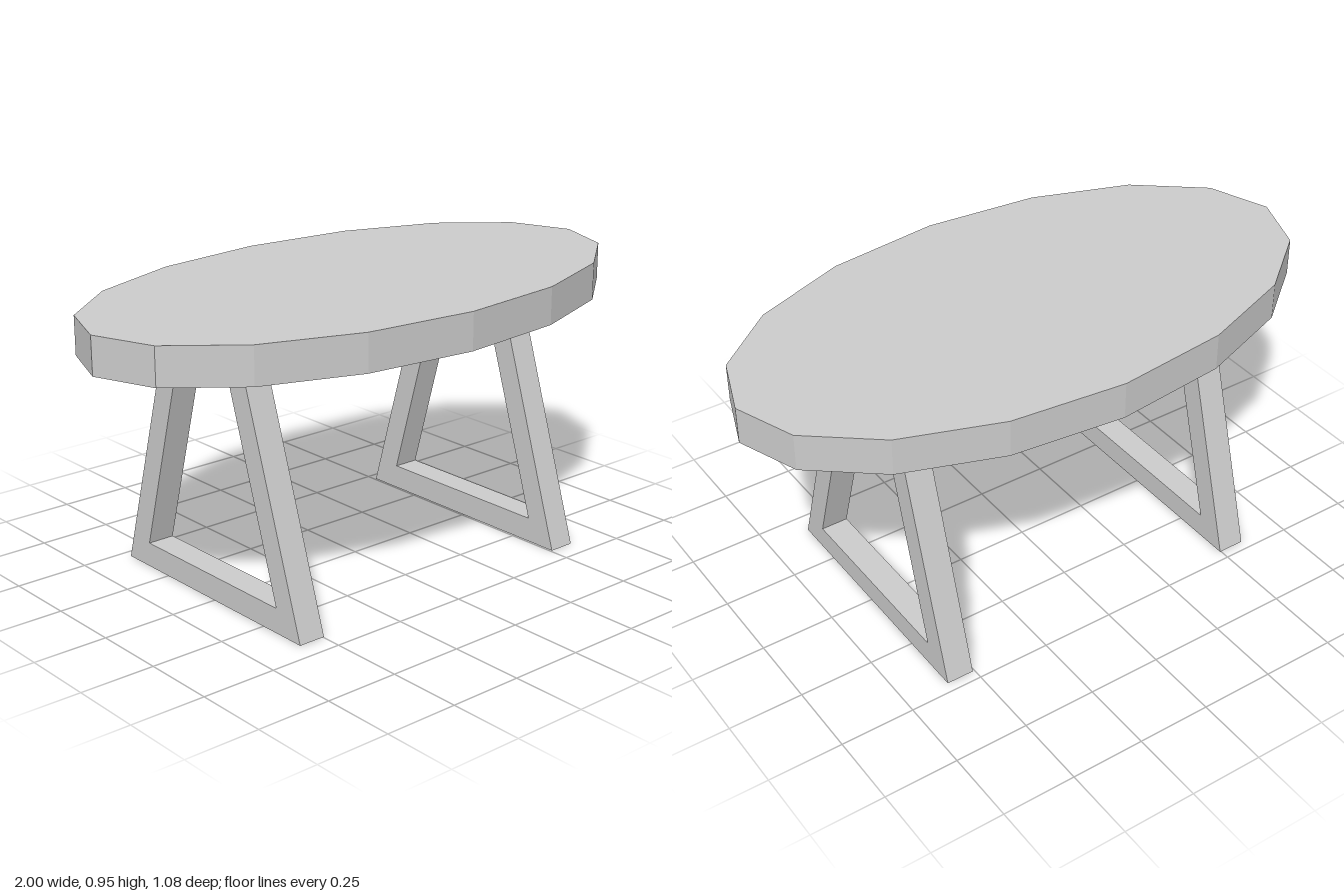
import * as THREE from 'three';

const material = new THREE.MeshStandardMaterial({ color: 0xcccccc, flatShading: true });

// Trapezoid outline in the (z, y) plane
function trapezoid(path, y0, back0, front0, y1, back1, front1) {
  path.moveTo(back0, y0);
  path.lineTo(front0, y0);
  path.lineTo(front1, y1);
  path.lineTo(back1, y1);
  path.closePath();
  return path;
}

export function createModel() {
  const model = new THREE.Group();
  model.name = 'table';

  // Oval sixteen-sided top
  const topY = 0.955, undersideY = 0.83;
  const topGeometry = new THREE.CylinderGeometry(1, 1, topY - undersideY, 16);
  topGeometry.scale(1, 1, 0.54);
  const top = new THREE.Mesh(topGeometry, material);
  top.name = 'tableTop';
  top.position.y = (topY + undersideY) / 2;
  model.add(top);

  // Open trapezoid leg frames, set slightly towards the back
  const width = 0.093;
  const outline = trapezoid(new THREE.Shape(), 0, -0.465, 0.428, undersideY, -0.225, 0.162);
  outline.holes.push(trapezoid(new THREE.Path(), 0.083, -0.352, 0.315, 0.765, -0.158, 0.097));
  const legGeometry = new THREE.ExtrudeGeometry(outline, { depth: width, bevelEnabled: false });
  legGeometry.translate(0, 0, -width / 2);
  legGeometry.rotateY(-Math.PI / 2);

  for (const [name, x] of [['leftLegFrame', 0.553], ['rightLegFrame', -0.543]]) {
    const leg = new THREE.Mesh(legGeometry, material);
    leg.name = name;
    leg.position.x = x;
    model.add(leg);
  }

  return model;
}
